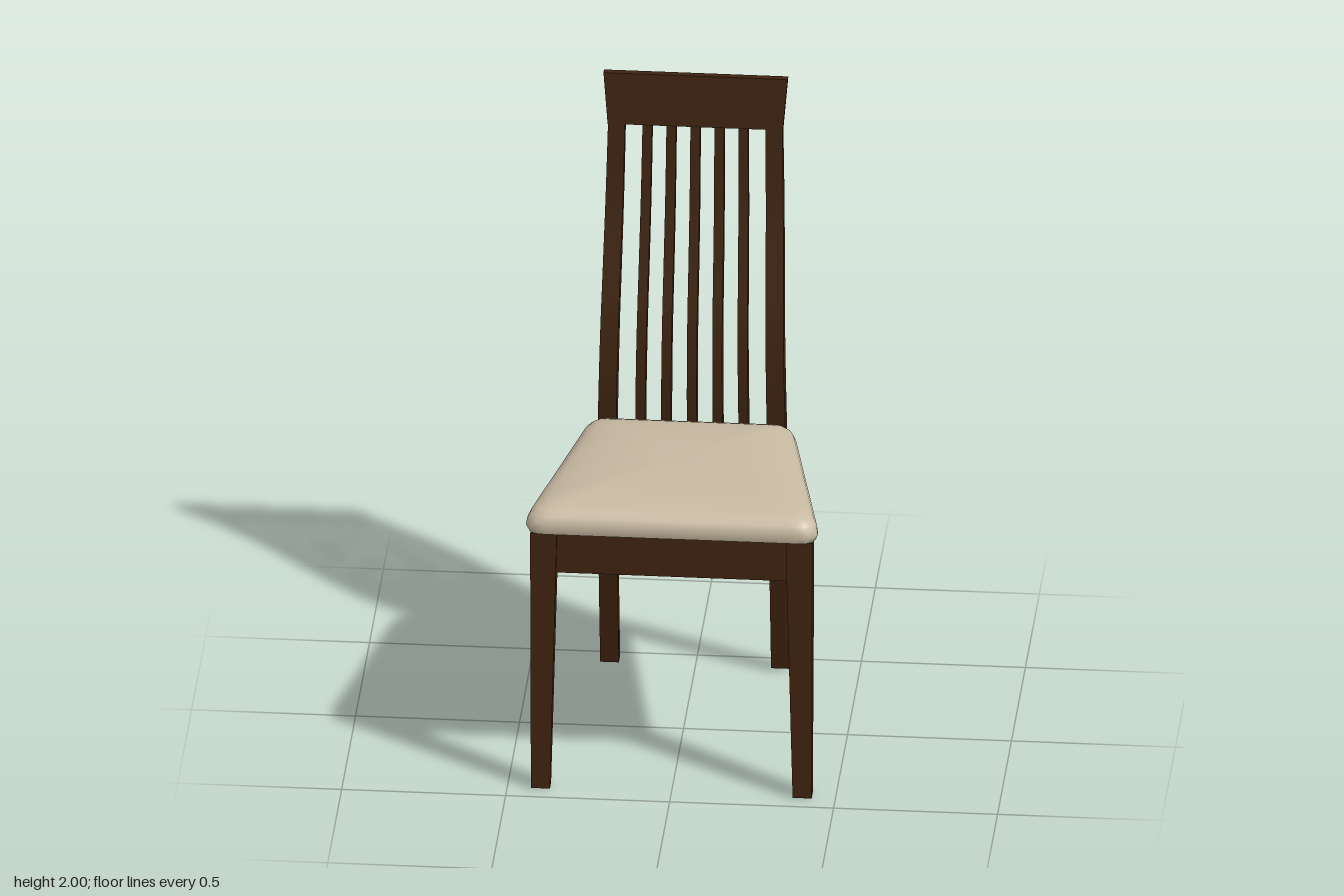
import * as THREE from 'three';
import { toCreasedNormals } from 'three/addons/utils/BufferGeometryUtils.js';

const wood = new THREE.MeshStandardMaterial({ color: 0x3f2411 });
wood.name = 'darkWood';
const fabric = new THREE.MeshStandardMaterial({ color: 0xc8baa2 });
fabric.name = 'beigeFabric';

// Skins a stack of closed convex rings (bottom to top) and caps both ends.
function loft(rings, crease = 0.5) {
  const n = rings[0].length;
  const last = (rings.length - 1) * n;
  const index = [];
  for (let i = 0; i < rings.length - 1; i++) {
    for (let j = 0; j < n; j++) {
      const a = i * n + j, b = i * n + (j + 1) % n;
      index.push(a, a + n, b, b, a + n, b + n);
    }
  }
  for (let j = 1; j < n - 1; j++) {
    index.push(0, j, j + 1, last, last + j + 1, last + j);
  }
  const g = new THREE.BufferGeometry();
  g.setAttribute('position', new THREE.Float32BufferAttribute(rings.flat(2), 3));
  g.setIndex(index);
  return toCreasedNormals(g, crease);
}

const rect = (y, x0, x1, z0, z1) => [[x1, y, z0], [x1, y, z1], [x0, y, z1], [x0, y, z0]];

// Side profile of the back: height, middle z, depth
const profile = new THREE.CatmullRomCurve3([
  [0.01, -0.433, 0.045], [0.35, -0.382, 0.052], [0.73, -0.335, 0.055], [0.87, -0.321, 0.06],
  [1.0, -0.316, 0.063], [1.2, -0.33, 0.061], [1.4, -0.374, 0.058], [1.6, -0.413, 0.047],
  [1.84, -0.436, 0.034], [2.0, -0.445, 0.021],
].map(([y, z, d]) => new THREE.Vector3(d, y, z)));
const samples = profile.getPoints(120);

function backAt(y) {
  const i = Math.max(1, samples.findIndex((p) => p.y >= y - 1e-6));
  const a = samples[i - 1], b = samples[i];
  const p = a.clone().lerp(b, THREE.MathUtils.clamp((y - a.y) / (b.y - a.y), 0, 1));
  return { z: p.z, d: p.x };
}

// A wooden member following the back profile; span(y) gives its x limits.
function backMember(y0, y1, steps, span, depthScale = 1) {
  const rings = [];
  for (let i = 0; i <= steps; i++) {
    const y = y0 + (y1 - y0) * i / steps;
    const { z, d } = backAt(y);
    const [x0, x1] = span(y);
    rings.push(rect(y, x0, x1, z - d * depthScale / 2, z + d * depthScale / 2));
  }
  return loft(rings);
}

// Tapered seat outline with rounded corners, in x and z
function cushionOutline() {
  const s = new THREE.Shape();
  s.moveTo(0.328, -0.215);
  s.lineTo(0.443, 0.39);
  s.bezierCurveTo(0.45, 0.43, 0.44, 0.456, 0.395, 0.456);
  s.lineTo(-0.395, 0.456);
  s.bezierCurveTo(-0.44, 0.456, -0.45, 0.43, -0.443, 0.39);
  s.lineTo(-0.328, -0.215);
  s.bezierCurveTo(-0.316, -0.265, -0.305, -0.284, -0.265, -0.284);
  s.lineTo(0.265, -0.284);
  s.bezierCurveTo(0.305, -0.284, 0.316, -0.265, 0.328, -0.215);
  return s.getSpacedPoints(120).slice(0, -1);
}

export function createModel() {
  const chair = new THREE.Group();
  chair.name = 'diningChair';
  const add = (name, geometry, material = wood) => {
    const m = new THREE.Mesh(geometry, material);
    m.name = name;
    chair.add(m);
    return m;
  };
  const lerp = THREE.MathUtils.lerp;

  // Legs: back posts run up to the top rail, front legs taper on the inside
  for (const [side, s] of [['left', 1], ['right', -1]]) {
    const sorted = (a, b) => (s > 0 ? [a, b] : [-b, -a]);
    add(side + 'BackPost', backMember(0.01, 1.845, 48, (y) => {
      const t = Math.max(0, (y - 0.73) / 1.1);
      return sorted(lerp(0.232, 0.214, t), lerp(0.289, 0.266, t));
    }));
    add(side + 'FrontLeg', loft([
      rect(0, ...sorted(0.37, 0.428), 0.397, 0.441),
      rect(0.73, ...sorted(0.352, 0.43), 0.374, 0.441),
      rect(0.866, ...sorted(0.349, 0.43), 0.371, 0.441),
    ]));
  }

  // Top rail flares slightly upwards
  add('topRail', backMember(1.835, 2, 6, (y) => {
    const x = lerp(0.267, 0.281, (y - 1.835) / 0.165);
    return [-x, x];
  }, 1.04));

  // Five curved slats, closing up a little towards the top
  for (let i = -2; i <= 2; i++) {
    add('backSlat' + (i + 3), backMember(0.84, 1.845, 30, (y) => {
      const x = i * lerp(0.079, 0.073, (y - 0.84) / 1);
      return [x - 0.015, x + 0.015];
    }, 0.75));
  }

  // Seat apron: a tapered frame
  const apron = new THREE.Shape([[0.28, -0.35], [0.42, 0.43], [-0.42, 0.43], [-0.28, -0.35]]
    .map((p) => new THREE.Vector2(...p)));
  apron.holes.push(new THREE.Path([[0.247, -0.3], [-0.247, -0.3], [-0.372, 0.39], [0.372, 0.39]]
    .map((p) => new THREE.Vector2(...p))));
  const apronGeometry = new THREE.ExtrudeGeometry(apron, { depth: 0.13, bevelEnabled: false });
  apronGeometry.rotateX(Math.PI / 2).translate(0, 0.86, 0);
  add('seatApron', apronGeometry);

  // Cushion: shrinking copies of the outline stacked into a soft crown
  const outline = cushionOutline();
  const centreZ = 0.08;
  const layers = [[0.95, 0.864], [0.985, 0.868], [1, 0.885], [0.992, 0.906], [0.97, 0.924],
    [0.93, 0.938], [0.86, 0.948], [0.75, 0.956], [0.6, 0.964], [0.4, 0.97], [0.2, 0.973], [0.02, 0.974]];
  add('seatCushion', loft(layers.map(([k, y]) => outline.map((p) => {
    const z = centreZ + (p.y - centreZ) * k;
    return [p.x * k, y - 0.024 * (0.456 - z) / 0.74, z];
  })), 0.9), fabric);

  return chair;
}
